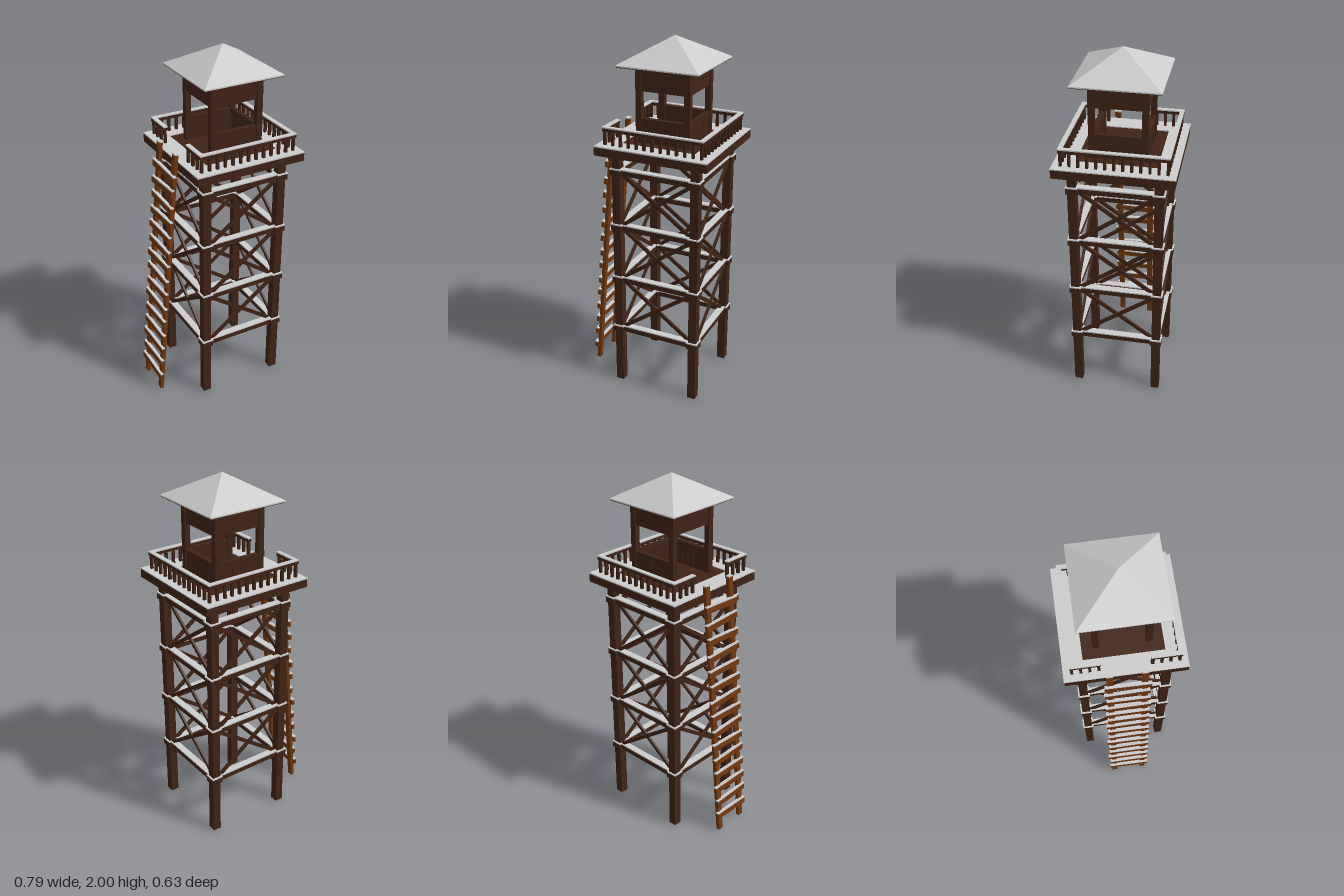
import * as THREE from 'three';

const wood = new THREE.MeshStandardMaterial({ color: 0x3f2416 });
const ladderWood = new THREE.MeshStandardMaterial({ color: 0x70380f });
const cover = new THREE.MeshStandardMaterial({ color: 0xcccccc });
const CX = 0.077; // tower axis

function box(parent, name, size, pos, mat = wood) {
  const m = new THREE.Mesh(new THREE.BoxGeometry(...size), mat);
  m.name = name;
  m.position.set(...pos);
  parent.add(m);
  return m;
}

// Box with a thin pale layer on top
function coveredBox(parent, name, [w, h, d], [x, y, z], mat = wood) {
  const g = group(parent, name);
  g.position.set(x, y, z);
  box(g, name + 'Wood', [w, h, d], [0, 0, 0], mat);
  box(g, name + 'Cover', [w + 0.002, 0.007, d + 0.002], [0, h / 2 + 0.002, 0], cover);
  return g;
}

function group(parent, name) {
  const g = new THREE.Group();
  g.name = name;
  parent.add(g);
  return g;
}

// Four groups, each turned so its local +z points out of one side
function fourSides(parent, name, build) {
  for (let i = 0; i < 4; i++) {
    const side = group(parent, name);
    side.rotation.y = i * Math.PI / 2;
    build(side, i); // 0 front, 1 +x, 2 back, 3 -x (ladder side)
  }
}

export function createModel() {
  const model = new THREE.Group();
  model.name = 'watchtower';
  const tower = group(model, 'tower');
  tower.position.x = CX;

  // Legs with collars at every beam level
  const L = 0.227, levels = [0.345, 0.662, 0.98, 1.3];
  for (const sx of [-1, 1]) for (const sz of [-1, 1]) {
    box(tower, 'leg', [0.046, 1.41, 0.046], [sx * L, 0.705, sz * L]);
    for (const y of levels) coveredBox(tower, 'collar', [0.062, 0.034, 0.062], [sx * L, y, sz * L]);
  }

  // Horizontal beams and crossed braces
  fourSides(tower, 'frameSide', side => {
    levels.forEach((y, i) => {
      coveredBox(side, 'beam', [2 * L - 0.06, 0.03, 0.036], [0, y, L]);
      if (i === 3) return;
      const h = levels[i + 1] - y - 0.02, w = 2 * L - 0.04;
      for (const s of [-1, 1]) {
        const brace = box(side, 'brace', [Math.hypot(w, h), 0.02, 0.012],
          [0, (y + levels[i + 1]) / 2, L + s * 0.006]);
        brace.rotation.z = s * Math.atan2(h, w);
      }
    });
  });

  // Platform, with its cover left bare beneath the roof
  box(tower, 'platform', [0.634, 0.047, 0.63], [0, 1.428, 0]);
  const square = (C, r) => {
    const s = new C();
    s.moveTo(-r, -r); s.lineTo(r, -r); s.lineTo(r, r); s.lineTo(-r, r); s.closePath();
    return s;
  };
  const deckShape = square(THREE.Shape, 0.317);
  deckShape.holes.push(square(THREE.Path, 0.21));
  const deck = new THREE.Mesh(
    new THREE.ExtrudeGeometry(deckShape, { depth: 0.007, bevelEnabled: false }), cover);
  deck.name = 'deckCover';
  deck.rotation.x = -Math.PI / 2;
  deck.position.y = 1.45;
  tower.add(deck);

  // Railing, open in the middle of the ladder side
  const R = 0.272;
  fourSides(tower, 'railing', (side, i) => {
    if (i === 3) {
      for (const s of [-1, 1]) coveredBox(side, 'handrail', [0.157, 0.018, 0.022], [s * 0.2035, 1.54, R]);
    } else coveredBox(side, 'handrail', [2 * R + 0.02, 0.018, 0.022], [0, 1.54, R]);
    for (let k = 0; k < 12; k++) {
      const x = -R + k * 2 * R / 12;
      if (i === 3 && Math.abs(x) < 0.125) continue;
      box(side, 'baluster', [0.014, 0.085, 0.014], [x, 1.492, R]);
    }
    if (i === 3) box(side, 'gatePost', [0.014, 0.085, 0.014], [0.133, 1.492, R]);
  });

  // Cabin: corner posts, walls with windows, doorway facing the ladder
  const cabin = group(tower, 'cabin');
  const C = 0.137;
  for (const sx of [-1, 1]) for (const sz of [-1, 1])
    box(cabin, 'cabinPost', [0.032, 0.42, 0.032], [sx * C, 1.66, sz * C]);
  fourSides(cabin, 'cabinSide', (side, i) => {
    box(side, 'upperWall', [0.25, 0.14, 0.018], [0, 1.798, C]);
    if (i === 3) return;
    for (let k = 0; k < 6; k++)
      box(side, 'wallBoard', [0.0405, 0.115, k % 2 ? 0.018 : 0.021], [-0.1025 + k * 0.041, 1.507, C]);
    box(side, 'windowSill', [0.25, 0.022, 0.028], [0, 1.573, C]);
  });

  // Pyramid roof with a thin eave and wooden underside
  const roofGeo = new THREE.ConeGeometry(0.228 * Math.SQRT2, 0.133, 4, 1, true).toNonIndexed();
  roofGeo.rotateY(Math.PI / 4);
  roofGeo.computeVertexNormals();
  const roof = new THREE.Mesh(roofGeo, cover);
  roof.name = 'roof';
  roof.position.y = 1.9335;
  tower.add(roof);
  box(tower, 'roofEave', [0.456, 0.007, 0.456], [0, 1.8635, 0], cover);
  box(tower, 'roofUnderside', [0.45, 0.006, 0.45], [0, 1.859, 0]);

  // Leaning ladder with slightly uneven rungs
  const ladder = group(model, 'ladder');
  const foot = [-0.378, 0], top = [-0.248, 1.495];
  const dx = top[0] - foot[0], dy = top[1] - foot[1];
  const lean = -Math.atan2(dx, dy);
  for (const s of [-1, 1]) {
    const rail = coveredBox(ladder, 'ladderRail', [0.02, Math.hypot(dx, dy), 0.032],
      [(foot[0] + top[0]) / 2, dy / 2, s * 0.09]);
    rail.children[0].material = ladderWood;
    rail.rotation.z = lean;
  }
  for (let k = 0; k < 15; k++) {
    const y = 0.1 + k * 0.0905;
    const rung = coveredBox(ladder, 'rung', [0.016, 0.034, 0.238 + 0.006 * Math.sin(k * 4.1)],
      [foot[0] + dx * y / dy - 0.014, y, 0.003 * Math.sin(k * 2.3)], ladderWood);
    rung.rotation.set(0.045 * Math.sin(k * 2.7 + 1), 0, lean);
  }
  return model;
}
